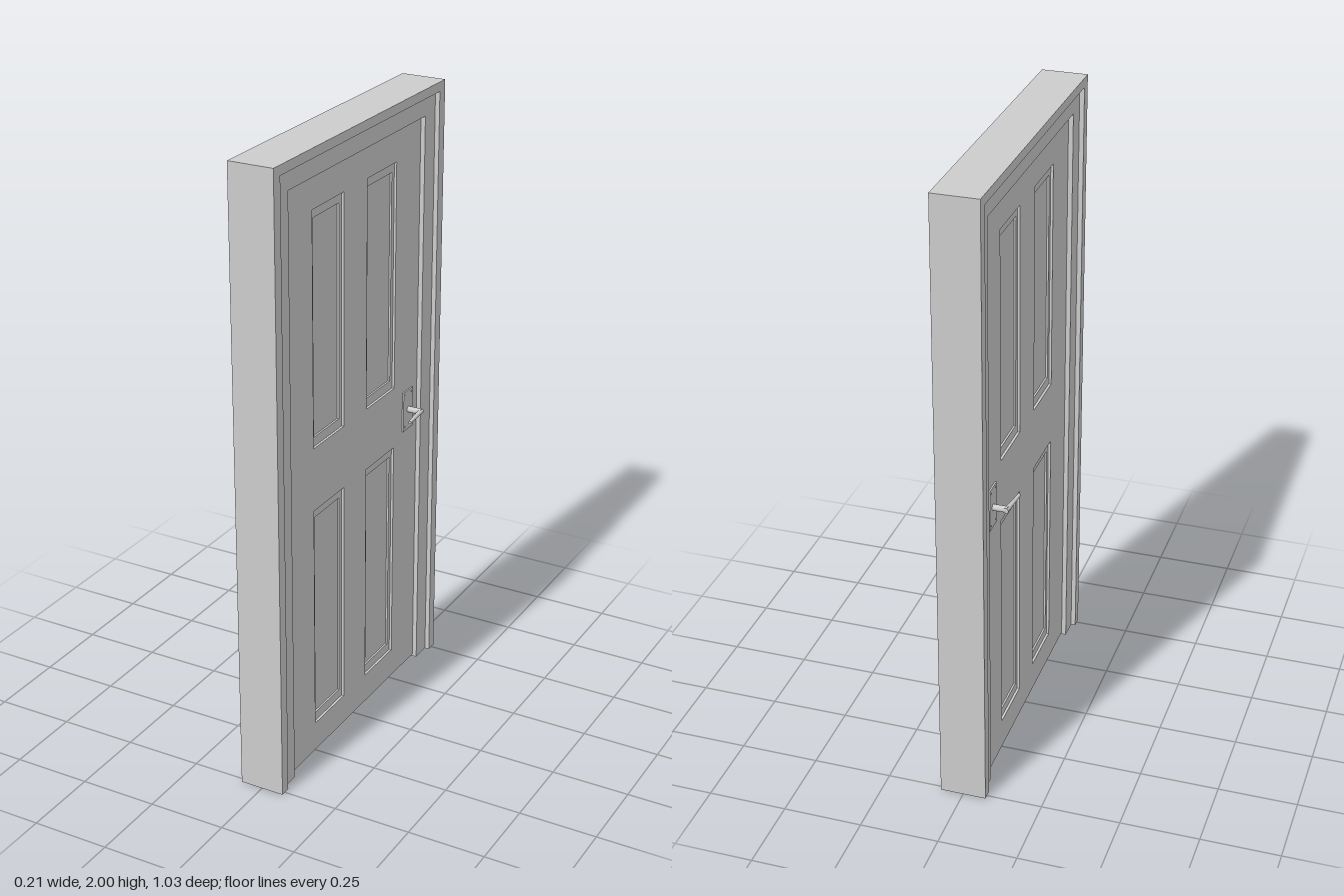
import * as THREE from 'three';

const grey = new THREE.MeshStandardMaterial({ color: 0xcccccc });
grey.name = 'paintedGrey';

function add(parent, name, geometry) {
  const mesh = new THREE.Mesh(geometry, grey);
  mesh.name = name;
  parent.add(mesh);
  return mesh;
}

// Closed rectangle outline, used for both shapes and holes
function rect(Type, z0, z1, y0, y1) {
  const s = new Type();
  s.moveTo(z0, y0).lineTo(z1, y0).lineTo(z1, y1).lineTo(z0, y1).closePath();
  return s;
}

// Extrude a (width, height) shape through the wall, centred on x = 0
function slab(shape, half) {
  const g = new THREE.ExtrudeGeometry(shape, { depth: half * 2, bevelEnabled: false });
  g.translate(0, 0, -half);
  g.rotateY(Math.PI / 2);
  return g;
}

// Upside-down U running up both sides and over the top
function arch(outer, outerTop, inner, innerTop) {
  const s = new THREE.Shape();
  s.moveTo(-outer, 0).lineTo(-inner, 0).lineTo(-inner, innerTop).lineTo(inner, innerTop)
    .lineTo(inner, 0).lineTo(outer, 0).lineTo(outer, outerTop).lineTo(-outer, outerTop).closePath();
  return s;
}

// Lever handle with its back plate, on the +x face
function handle(face) {
  const g = new THREE.Group();
  const plate = add(g, 'backPlate', new THREE.BoxGeometry(0.006, 0.136, 0.063));
  plate.position.set(face + 0.002, 0.954, -0.346);

  // Plate screws
  for (const y of [0.9, 1.01]) for (const z of [-0.368, -0.324]) {
    const screw = add(g, 'screw', new THREE.CylinderGeometry(0.003, 0.003, 0.002, 8));
    screw.rotation.z = -Math.PI / 2;
    screw.position.set(face + 0.0055, y, z);
  }

  // Spindle coming out of the door
  const spindle = add(g, 'spindle', new THREE.CylinderGeometry(0.01, 0.01, 0.094 - face, 16));
  spindle.rotation.z = -Math.PI / 2;
  spindle.position.set((face + 0.094) / 2, 0.954, -0.348);

  // Tapered lever leaning slightly away from the door
  const from = new THREE.Vector3(0.09, 0.954, -0.357);
  const to = new THREE.Vector3(0.1, 0.954, -0.257);
  const dir = to.clone().sub(from);
  const lever = add(g, 'lever', new THREE.CylinderGeometry(0.005, 0.0085, dir.length(), 14));
  lever.position.copy(from).add(to).multiplyScalar(0.5);
  lever.quaternion.setFromUnitVectors(new THREE.Vector3(0, 1, 0), dir.normalize());
  return g;
}

export function createModel() {
  const model = new THREE.Group();
  model.name = 'door';

  // Stepped frame
  add(model, 'outerFrame', slab(arch(0.515, 2, 0.48, 1.97), 0.073));
  add(model, 'innerFrame', slab(arch(0.48, 1.97, 0.414, 1.907), 0.058));

  // Door leaf with four panel openings
  const half = 0.043;
  const leaf = rect(THREE.Shape, -0.414, 0.414, 0.007, 1.907);
  const panels = [];
  for (const [y0, y1] of [[0.105, 0.853], [1.06, 1.803]])
    for (const [z0, z1] of [[-0.257, -0.072], [0.072, 0.257]]) panels.push([z0, z1, y0, y1]);
  for (const p of panels) leaf.holes.push(rect(THREE.Path, ...p));
  add(model, 'doorLeaf', slab(leaf, half));

  // Recessed moulding and panel in each opening
  for (const [z0, z1, y0, y1] of panels) {
    const inner = [z0 + 0.016, z1 - 0.016, y0 + 0.03, y1 - 0.03];
    const moulding = rect(THREE.Shape, z0, z1, y0, y1);
    moulding.holes.push(rect(THREE.Path, ...inner));
    add(model, 'panelMoulding', slab(moulding, half - 0.008));
    add(model, 'panel', slab(rect(THREE.Shape, ...inner), half - 0.014));
  }

  // A handle on each face
  for (const side of [1, -1]) {
    const h = handle(half);
    h.name = side > 0 ? 'leftHandle' : 'rightHandle';
    h.scale.x = side;
    model.add(h);
  }
  return model;
}
